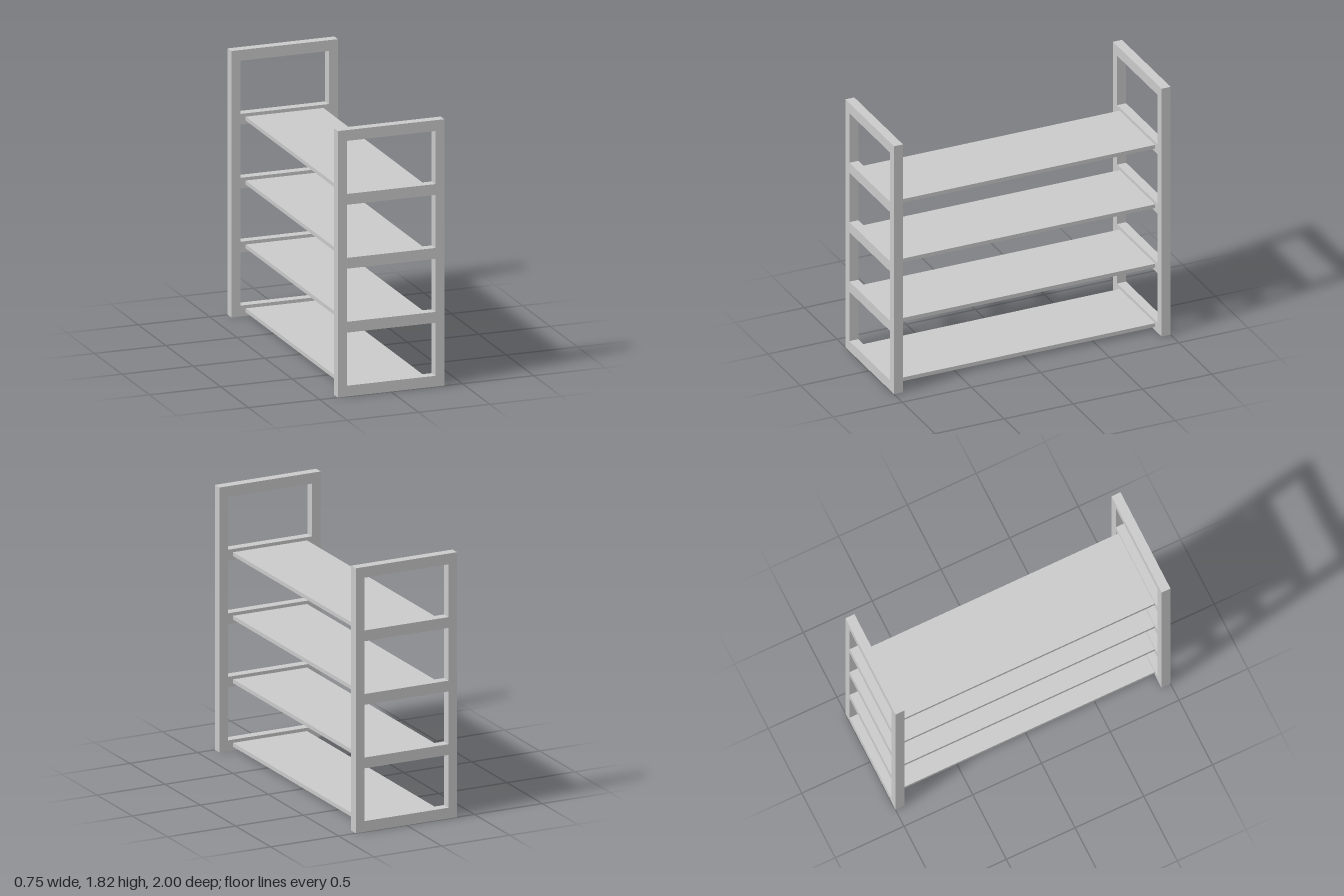
import * as THREE from 'three';

const HEIGHT = 1.82, HALF_WIDTH = 0.373, HOLE_HALF = 0.31;
const FRAME_DEPTH = 0.065, RAIL = 0.074, PITCH = (HEIGHT - RAIL) / 4;
const SHELF_WIDTH = 0.544, SHELF_THICKNESS = 0.027;

function rectangle(path, x, y0, y1) {
  path.moveTo(-x, y0);
  path.lineTo(x, y0);
  path.lineTo(x, y1);
  path.lineTo(-x, y1);
  path.closePath();
  return path;
}

export function createModel() {
  const group = new THREE.Group();
  group.name = 'shelfRack';
  const material = new THREE.MeshStandardMaterial({ color: 0xcccccc, flatShading: true });

  // Ladder-like end frame: one slab with four openings
  const outline = rectangle(new THREE.Shape(), HALF_WIDTH, 0, HEIGHT);
  for (let i = 0; i < 4; i++) {
    outline.holes.push(rectangle(new THREE.Path(), HOLE_HALF, i * PITCH + RAIL, (i + 1) * PITCH));
  }
  const frameGeometry = new THREE.ExtrudeGeometry(outline, { depth: FRAME_DEPTH, bevelEnabled: false });
  for (const [name, z] of [['frontFrame', 1 - FRAME_DEPTH], ['backFrame', -1]]) {
    const frame = new THREE.Mesh(frameGeometry, material);
    frame.name = name;
    frame.position.z = z;
    group.add(frame);
  }

  // Shelves spanning between the frames, centred on the lower four rails
  const shelfGeometry = new THREE.BoxGeometry(SHELF_WIDTH, SHELF_THICKNESS, 2 - 2 * FRAME_DEPTH);
  for (let i = 0; i < 4; i++) {
    const shelf = new THREE.Mesh(shelfGeometry, material);
    shelf.name = `shelf${i + 1}`;
    shelf.position.y = i * PITCH + RAIL / 2 + 0.001;
    group.add(shelf);
  }
  return group;
}
